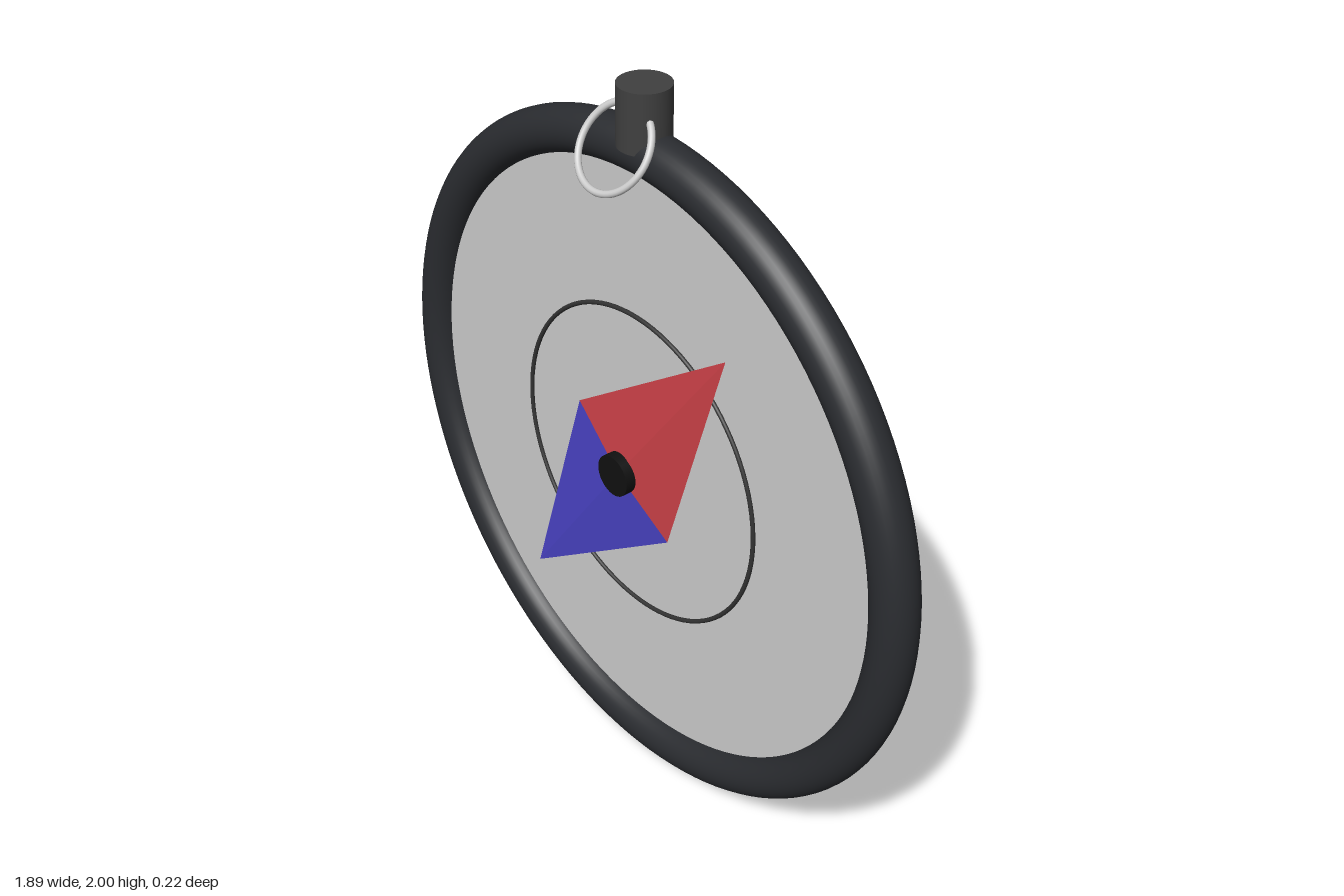
import * as THREE from 'three';

const CY = 0.945; // height of the dial centre
const RIM_Z = -0.045; // depth of the rim's centre line

export function createModel() {
  const model = new THREE.Group();

  const add = (name, geometry, color, x, y, z, options = {}) => {
    const mesh = new THREE.Mesh(geometry, new THREE.MeshStandardMaterial({ color, ...options }));
    mesh.name = name;
    mesh.position.set(x, y, z);
    model.add(mesh);
    return mesh;
  };
  // cylinder whose axis runs front to back
  const disc = (radius, depth, sides) =>
    new THREE.CylinderGeometry(radius, radius, depth, sides).rotateX(Math.PI / 2);

  // case: round rim with a flat dial set inside
  add('rim', new THREE.TorusGeometry(0.885, 0.06, 32, 128), 0x2a2c30, 0, CY, RIM_Z);
  add('dial', disc(0.86, 0.055, 96), 0xcccccc, 0, CY, -0.0585);
  add('dialCircle', new THREE.TorusGeometry(0.44, 0.006, 10, 96), 0x333333, -0.01, 0.942, -0.028);

  // needle: two flattened four-sided pyramids, base to base
  const halfLength = 0.632, halfWidth = 0.2165, halfDepth = 0.018;
  const needle = new THREE.Group();
  needle.name = 'needle';
  needle.position.set(-0.015, 0.9375, 0.013);
  needle.rotation.z = -Math.atan2(0.74, 1.025);
  model.add(needle);
  for (const [name, color, turn] of [['northNeedle', 0xcc4148, 0], ['southNeedle', 0x4a43c5, Math.PI]]) {
    const geometry = new THREE.ConeGeometry(halfWidth, halfLength, 4)
      .translate(0, halfLength / 2, 0)
      .scale(1, 1, halfDepth / halfWidth)
      .rotateZ(turn);
    const half = new THREE.Mesh(geometry, new THREE.MeshStandardMaterial({ color, flatShading: true }));
    half.name = name;
    needle.add(half);
  }

  // pivot through the needle
  add('pivot', disc(0.057, 0.09, 32), 0x111111, -0.007, CY, 0.01);

  // crown post and hanging ring
  add('crown', new THREE.CylinderGeometry(0.067, 0.067, 0.155, 40), 0x404040, -0.005, 1.9225, RIM_Z);
  const ring = add('hangingRing', new THREE.TorusGeometry(0.11, 0.009, 12, 64), 0xcccccc, -0.018, 1.857, 0.034);
  ring.rotation.x = -0.6;

  return model;
}
